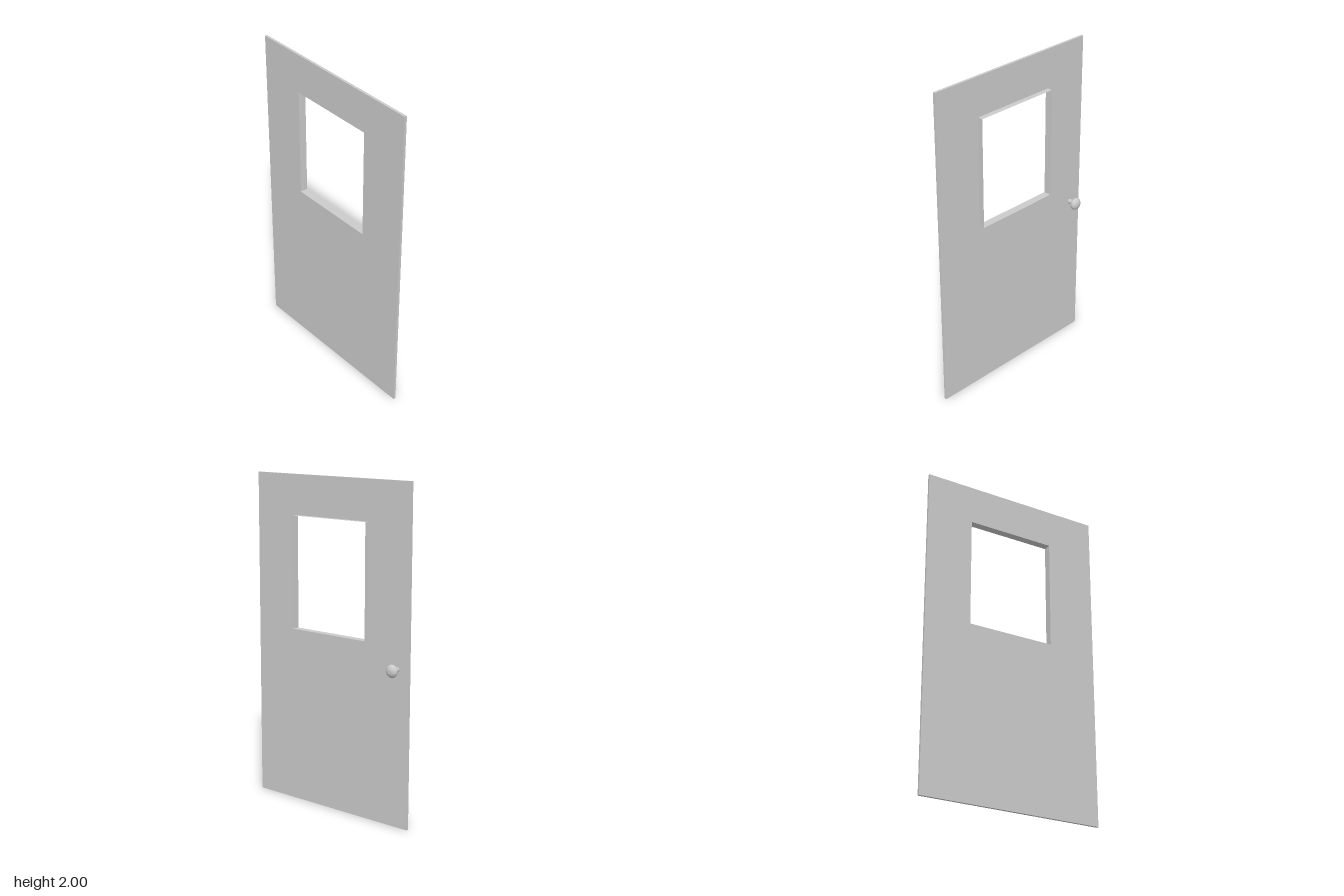
import * as THREE from 'three';

const grey = new THREE.MeshStandardMaterial({ color: 0xcccccc });
const greyThin = new THREE.MeshStandardMaterial({ color: 0xcccccc, side: THREE.DoubleSide });

// Door slab and window opening
const SLAB = { x0: -0.577, x1: 0.575, y0: 0, y1: 2, back: 0.028, depth: 0.015 };
const WINDOW = { x0: -0.283, x1: 0.27, y0: 1.08, y1: 1.76, back: -0.005 };

function rectangle(PathType, { x0, x1, y0, y1 }) {
  return new PathType([[x0, y0], [x1, y0], [x1, y1], [x0, y1]].map(p => new THREE.Vector2(...p)));
}

function addMesh(parent, name, geometry, material = grey) {
  const mesh = new THREE.Mesh(geometry, material);
  mesh.name = name;
  parent.add(mesh);
  return mesh;
}

export function createModel() {
  const door = new THREE.Group();
  door.name = 'door';

  // Thin slab with a rectangular window hole
  const outline = rectangle(THREE.Shape, SLAB);
  outline.holes.push(rectangle(THREE.Path, WINDOW));
  const slab = addMesh(door, 'doorPanel',
    new THREE.ExtrudeGeometry(outline, { depth: SLAB.depth, bevelEnabled: false }));
  slab.position.z = SLAB.back;

  // Window frame: four thin sheets standing out behind the slab
  const frame = new THREE.Group();
  frame.name = 'windowFrame';
  door.add(frame);
  const depth = SLAB.back - WINDOW.back;
  const midZ = (SLAB.back + WINDOW.back) / 2;
  const midX = (WINDOW.x0 + WINDOW.x1) / 2;
  const midY = (WINDOW.y0 + WINDOW.y1) / 2;
  for (const [name, x] of [['frameRight', WINDOW.x0], ['frameLeft', WINDOW.x1]]) {
    const side = addMesh(frame, name, new THREE.PlaneGeometry(depth, WINDOW.y1 - WINDOW.y0), greyThin);
    side.rotation.y = Math.PI / 2;
    side.position.set(x, midY, midZ);
  }
  for (const [name, y] of [['frameBottom', WINDOW.y0], ['frameTop', WINDOW.y1]]) {
    const rail = addMesh(frame, name, new THREE.PlaneGeometry(WINDOW.x1 - WINDOW.x0, depth), greyThin);
    rail.rotation.x = -Math.PI / 2;
    rail.position.set(midX, y, midZ);
  }

  // Door knob on the back: stem, rounded grip and small end button
  const knob = new THREE.Group();
  knob.name = 'doorKnob';
  knob.position.set(-0.495, 0.94, 0);
  knob.rotation.x = -Math.PI / 2;
  door.add(knob);

  const stem = addMesh(knob, 'knobStem', new THREE.CylinderGeometry(0.015, 0.015, 0.034, 24));
  stem.position.y = -0.011;

  const grip = addMesh(knob, 'knobGrip', new THREE.SphereGeometry(0.038, 24, 16));
  grip.scale.y = 0.66;
  grip.position.y = 0.021;

  const button = addMesh(knob, 'knobButton', new THREE.CylinderGeometry(0.011, 0.011, 0.006, 24));
  button.position.y = 0.044;

  return door;
}
